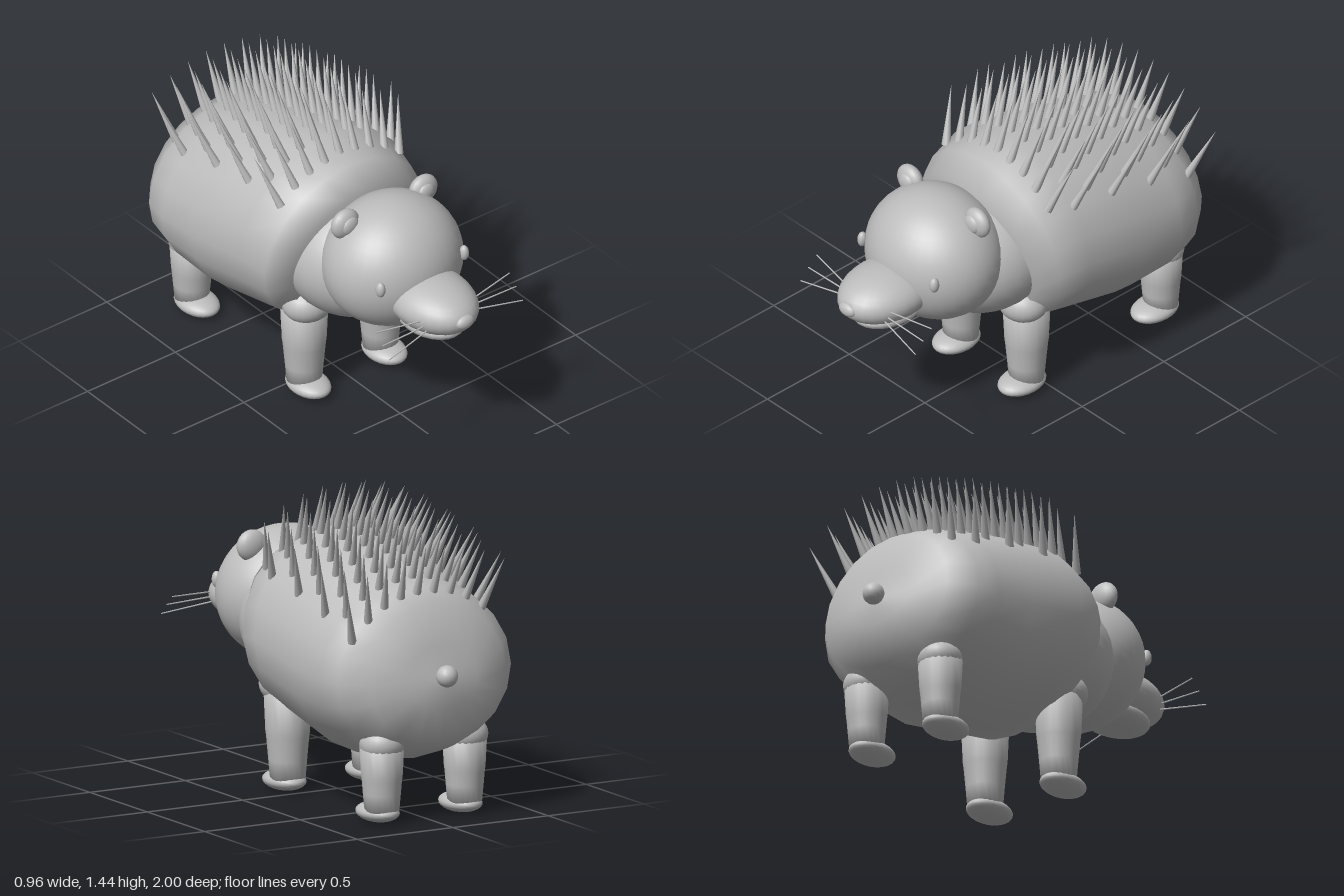
import * as THREE from 'three';

const grey = new THREE.MeshStandardMaterial({ color: 0xbcbcbc });
grey.name = 'clay grey';

function add(parent, name, geometry, x = 0, y = 0, z = 0) {
  const mesh = new THREE.Mesh(geometry, grey);
  mesh.name = name;
  mesh.position.set(x, y, z);
  parent.add(mesh);
  return mesh;
}

function ellipsoid(parent, name, [x, y, z], [rx, ry, rz], seg = 24) {
  const mesh = add(parent, name, new THREE.SphereGeometry(1, seg, Math.round(seg * 0.67)), x, y, z);
  mesh.scale.set(rx, ry, rz);
  return mesh;
}

// A thin tapered rod between two points
function rod(parent, name, from, to, r0, r1, sides) {
  const dir = to.clone().sub(from);
  const mid = from.clone().add(to).multiplyScalar(0.5);
  const mesh = add(parent, name, new THREE.CylinderGeometry(r1, r0, dir.length(), sides), mid.x, mid.y, mid.z);
  mesh.quaternion.setFromUnitVectors(new THREE.Vector3(0, 1, 0), dir.normalize());
  return mesh;
}

// Tilted body sections: top z, top y, bottom z, bottom y, half width
const SECTIONS = [
  [0.16, 0.75, 0.16, 0.75, 0],
  [0.27, 1.11, 0.1, 0.42, 0.37],
  [0.14, 1.17, 0.03, 0.335, 0.45],
  [-0.03, 1.23, -0.1, 0.31, 0.48],
  [-0.4, 1.17, -0.4, 0.24, 0.48],
  [-0.62, 1.1, -0.65, 0.26, 0.475],
  [-0.74, 1.06, -0.76, 0.3, 0.455],
  [-0.83, 1.01, -0.89, 0.36, 0.36],
  [-0.88, 0.82, -0.94, 0.54, 0.18],
  [-0.925, 0.67, -0.925, 0.67, 0],
];

function bodyGeometry() {
  const n = 20, pos = [], idx = [];
  for (const [tz, ty, bz, by, hw] of SECTIONS) {
    const cy = by + (ty - by) * 0.48, cz = bz + (tz - bz) * 0.48;
    for (let j = 0; j < n; j++) {
      const a = (j / n) * Math.PI * 2, c = Math.cos(a), k = Math.abs(c);
      pos.push(hw * Math.sin(a), cy + k * ((c > 0 ? ty : by) - cy), cz + k * ((c > 0 ? tz : bz) - cz));
    }
  }
  for (let i = 0; i < SECTIONS.length - 1; i++) {
    for (let j = 0; j < n; j++) {
      const a = i * n + j, c = i * n + ((j + 1) % n);
      if (i > 0) idx.push(a, c, a + n);
      if (i < SECTIONS.length - 2) idx.push(c, c + n, a + n);
    }
  }
  const g = new THREE.BufferGeometry();
  g.setAttribute('position', new THREE.Float32BufferAttribute(pos, 3));
  g.setIndex(idx);
  g.computeVertexNormals();
  return g;
}

// Height of the back ridge at a given z
function ridge(z) {
  for (let i = 1; i < SECTIONS.length - 1; i++) {
    const [z0, y0] = SECTIONS[i], [z1, y1] = SECTIONS[i + 1];
    if (z <= z0 && z >= z1) return y0 + ((y1 - y0) * (z0 - z)) / (z0 - z1);
  }
  return 1;
}

function addSpines(parent) {
  const spines = new THREE.Group();
  spines.name = 'spines';
  parent.add(spines);
  for (let row = 0; row < 8; row++) {
    for (let i = -4; i <= 4; i++) {
      const x = (i + (row % 2) * 0.5) * 0.084;
      const z = 0.06 - row * 0.116;
      const y = ridge(z) - 0.02 - 0.5 * (1 - Math.sqrt(1 - (x / 0.49) ** 2));
      rod(spines, 'spine', new THREE.Vector3(x, y, z),
        new THREE.Vector3(x * 1.22, y + 0.24, z - 0.1), 0.021, 0.0005, 8);
    }
  }
}

function addLeg(parent, name, x, z, profile, footZ) {
  const leg = new THREE.Group();
  leg.name = name;
  parent.add(leg);
  add(leg, 'legColumn', new THREE.LatheGeometry(profile.map(p => new THREE.Vector2(...p)), 20), x, 0, z);
  ellipsoid(leg, 'foot', [x, 0.05, footZ], [0.09, 0.045, 0.125]);
  return leg;
}

export function createModel() {
  const model = new THREE.Group();
  model.name = 'hedgehog';

  add(model, 'body', bodyGeometry());
  addSpines(model);
  ellipsoid(model, 'tail', [0, 0.69, -0.95], [0.05, 0.05, 0.05], 16);
  ellipsoid(model, 'neck', [0, 0.75, 0.18], [0.355, 0.31, 0.35], 32);

  // Head and muzzle
  const head = new THREE.Group();
  head.name = 'head';
  model.add(head);
  ellipsoid(head, 'skull', [0, 0.83, 0.44], [0.335, 0.31, 0.3], 36);
  ellipsoid(head, 'snout', [0, 0.76, 0.73], [0.185, 0.122, 0.255], 28);
  ellipsoid(head, 'lowerJaw', [0, 0.66, 0.72], [0.135, 0.06, 0.19]);
  ellipsoid(head, 'nose', [0, 0.765, 0.972], [0.05, 0.034, 0.028], 16);

  for (const s of [1, -1]) {
    ellipsoid(head, 'eye', [s * 0.238, 0.872, 0.662], [0.022, 0.038, 0.024], 16);
    ellipsoid(head, 'ear', [s * 0.222, 1.075, 0.383], [0.075, 0.073, 0.043], 20);
    ellipsoid(head, 'innerEar', [s * 0.216, 1.075, 0.412], [0.047, 0.046, 0.024], 16);

    // Whiskers: root y, root z, tip y, tip z
    for (const [y0, z0, y1, z1] of [[0.77, 0.855, 0.78, 0.81], [0.745, 0.865, 0.735, 0.86], [0.72, 0.872, 0.685, 0.908]]) {
      rod(head, 'whisker', new THREE.Vector3(s * 0.14, y0, z0), new THREE.Vector3(s * 0.38, y1, z1), 0.004, 0.003, 6);
    }

    // Legs
    const front = addLeg(model, 'frontLeg', s * 0.217, 0.078,
      [[0, 0.03], [0.08, 0.05], [0.088, 0.15], [0.098, 0.26], [0.101, 0.28], [0.109, 0.46], [0, 0.5]], 0.107);
    ellipsoid(front, 'shoulder', [s * 0.217, 0.495, 0.1], [0.122, 0.095, 0.112]);
    const back = addLeg(model, 'backLeg', s * 0.217, -0.742,
      [[0, 0.03], [0.078, 0.05], [0.086, 0.14], [0.091, 0.2], [0.094, 0.22], [0.102, 0.36], [0, 0.42]], -0.705);
    ellipsoid(back, 'hip', [s * 0.217, 0.37, -0.747], [0.105, 0.085, 0.102]);
  }
  return model;
}
